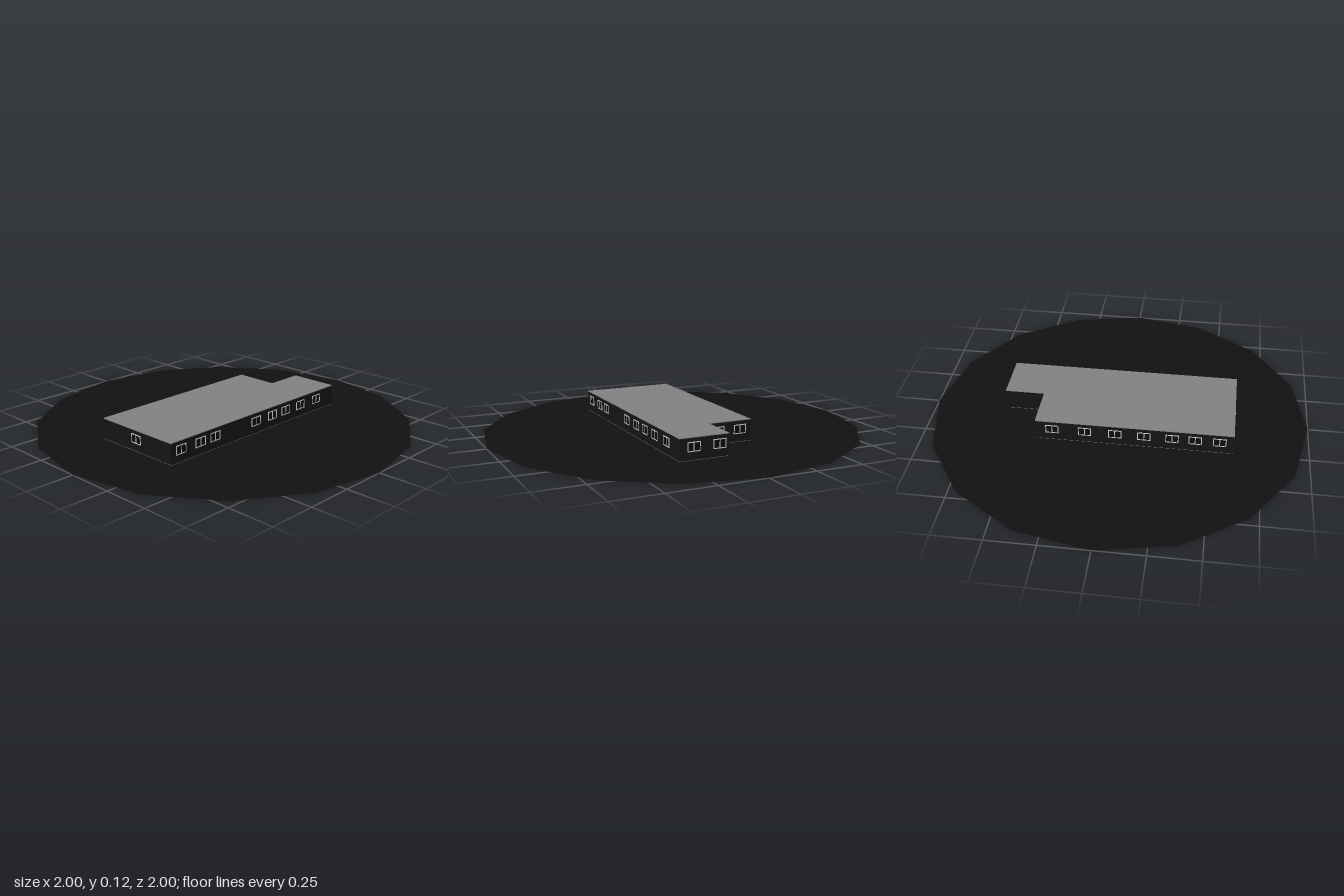
import * as THREE from 'three';

const mat = (color, side = THREE.FrontSide) => new THREE.MeshStandardMaterial({ color, side });
const wallMat = mat(0x141414);
const slabMat = mat(0x808080);
const glassMat = mat(0x0c0c0c);
const frameMat = mat(0xcccccc);
const groundMat = mat(0x111111, THREE.DoubleSide);

const HEIGHT = 0.115, SLAB = 0.004;
const LEFT = 0.615, NOTCH_X = 0.407, NOTCH_Z = -0.013, DEPTH = 0.25;

// L-shaped footprint, drawn with shape y = -z
function footprint() {
  return new THREE.Shape([
    [-LEFT, -DEPTH], [LEFT, -DEPTH], [LEFT, -NOTCH_Z],
    [NOTCH_X, -NOTCH_Z], [NOTCH_X, DEPTH], [-LEFT, DEPTH],
  ].map(([x, y]) => new THREE.Vector2(x, y)));
}

// Horizontal slab of the footprint between two heights
function storey(name, y0, y1, material) {
  const geo = new THREE.ExtrudeGeometry(footprint(), { depth: y1 - y0, bevelEnabled: false });
  geo.rotateX(-Math.PI / 2);
  const mesh = new THREE.Mesh(geo, material);
  mesh.position.y = y0;
  mesh.name = name;
  return mesh;
}

function rectangle(PathType, x0, y0, x1, y1) {
  return new PathType([[x0, y0], [x1, y0], [x1, y1], [x0, y1]].map(([x, y]) => new THREE.Vector2(x, y)));
}

// Two-light window frame facing +z
const W = 0.034, H = 0.024, BAR = 0.0045;
const frameShape = rectangle(THREE.Shape, -W, -H, W, H);
frameShape.holes.push(
  rectangle(THREE.Path, -W + BAR, -H + BAR, -BAR / 2, H - BAR),
  rectangle(THREE.Path, BAR / 2, -H + BAR, W - BAR, H - BAR),
);
const frameGeo = new THREE.ExtrudeGeometry(frameShape, { depth: 0.002, bevelEnabled: false });
const glassGeo = new THREE.PlaneGeometry(2 * W, 2 * H).translate(0, 0, 0.001);

function makeWindow(x, z, angle) {
  const group = new THREE.Group();
  group.name = 'window';
  const frame = new THREE.Mesh(frameGeo, frameMat);
  frame.name = 'windowFrame';
  const glass = new THREE.Mesh(glassGeo, glassMat);
  glass.name = 'windowGlass';
  group.add(frame, glass);
  group.position.set(x, 0.068, z);
  group.rotation.y = angle;
  return group;
}

export function createModel() {
  const model = new THREE.Group();
  model.name = 'buildingOnGround';

  // Flat sixteen-sided ground
  const ground = new THREE.Mesh(new THREE.CircleGeometry(1, 16).rotateX(-Math.PI / 2), groundMat);
  ground.position.y = 0.002;
  ground.name = 'ground';
  model.add(ground);

  // Floor, walls and flat roof
  model.add(
    storey('floor', 0, SLAB, slabMat),
    storey('walls', SLAB, HEIGHT - SLAB, wallMat),
    storey('roof', HEIGHT - SLAB, HEIGHT, slabMat),
  );

  // Windows wall by wall
  const windows = new THREE.Group();
  windows.name = 'windows';
  for (const x of [-0.55, -0.42, -0.32, -0.02, 0.107, 0.216, 0.337, 0.473])
    windows.add(makeWindow(x, DEPTH, 0));
  for (const x of [0.32, 0.15, -0.007, -0.157, -0.301, -0.419, -0.543])
    windows.add(makeWindow(x, -DEPTH, Math.PI));
  for (const z of [0.174, 0.037])
    windows.add(makeWindow(LEFT, z, Math.PI / 2));
  for (const z of [-0.064, -0.187])
    windows.add(makeWindow(NOTCH_X, z, Math.PI / 2));
  windows.add(makeWindow(-LEFT, 0, -Math.PI / 2));
  model.add(windows);

  return model;
}
